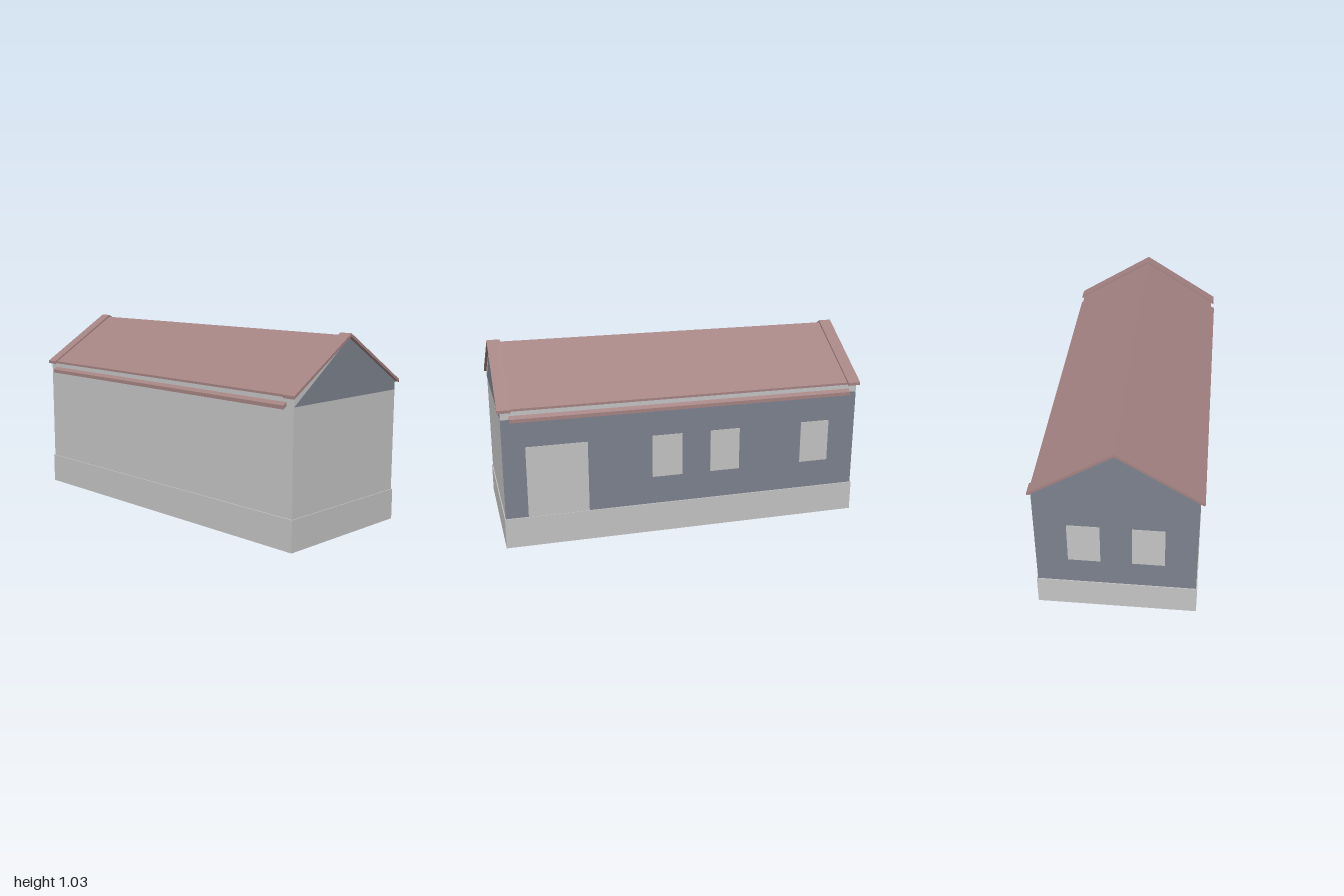
import * as THREE from 'three';

const material = (name, color, side = THREE.FrontSide) => {
  const m = new THREE.MeshStandardMaterial({ color, side });
  m.name = name;
  return m;
};

export function createModel() {
  const house = new THREE.Group();
  house.name = 'house';
  const grey = material('pale grey', 0xc4c4c4);
  const blue = material('slate blue', 0x7d828e);
  const red = material('dusty red roof', 0xa58383);

  const add = (name, geometry, mat) => {
    const mesh = new THREE.Mesh(geometry, mat);
    mesh.name = name;
    house.add(mesh);
    return mesh;
  };
  const box = (name, [x0, x1], [y0, y1], [z0, z1], mat) => {
    const g = new THREE.BoxGeometry(x1 - x0, y1 - y0, z1 - z0);
    g.translate((x0 + x1) / 2, (y0 + y1) / 2, (z0 + z1) / 2);
    return add(name, g, mat);
  };
  // Extrudes a [z, y] outline along x from x0 to x1
  const extrudeX = (name, outline, x0, x1, mat) => {
    const shape = new THREE.Shape(outline.map(([z, y]) => new THREE.Vector2(-z, y)));
    const g = new THREE.ExtrudeGeometry(shape, { depth: x1 - x0, bevelEnabled: false });
    g.rotateY(Math.PI / 2).translate(x0, 0, 0);
    return add(name, g, mat);
  };
  // Folded roof section of constant vertical thickness
  const roof = (name, half, peak, eave, t, x0, x1) => extrudeX(name, [
    [half, eave], [0, peak], [-half, eave], [-half, eave - t], [0, peak - t], [half, eave - t],
  ], x0, x1, red);

  const wallX = 0.985, wallZ = 0.41, plinthTop = 0.165, wallTop = 0.71;

  // Plinth and walls: back and -x end are painted blue
  box('plinth', [-0.99, 0.99], [0, plinthTop], [-0.416, 0.416], grey);
  box('walls', [-wallX, wallX], [plinthTop, wallTop], [-wallZ, wallZ],
    [grey, blue, grey, grey, grey, blue]);

  // Attic with blue gables and grey eave strips
  extrudeX('attic', [[wallZ, wallTop], [wallZ, 0.757], [0, 1.012], [-wallZ, 0.757], [-wallZ, wallTop]],
    -wallX, wallX, [blue, grey]);
  extrudeX('gableTrim', [[wallZ, wallTop], [wallZ, 0.757], [0, 1.012]], wallX, wallX + 0.002, grey);

  // Door and windows on the back wall
  const backZ = [-wallZ - 0.003, -wallZ];
  box('door', [0.54, 0.865], [plinthTop, 0.555], backZ, grey);
  for (const x of [0.108, -0.218, -0.745]) {
    box('backWindow', [x - 0.083, x + 0.083], [0.32, 0.555], backZ, grey);
  }
  // Pair of windows on the end wall
  for (const z of [-0.163, 0.163]) {
    box('endWindow', [-wallX - 0.003, -wallX], [0.32, 0.555], [z - 0.083, z + 0.083], grey);
  }

  // Roof, raised end bands and gutters
  roof('roof', 0.412, 1.021, 0.765, 0.012, -0.93, 0.93);
  for (const s of [-1, 1]) {
    roof('roofEndBand', 0.426, 1.033, 0.766, 0.016, Math.min(s * 0.93, s), Math.max(s * 0.93, s));
    extrudeX('gutter', [[s * 0.41, 0.73], [s * 0.432, 0.716], [s * 0.432, 0.697], [s * 0.41, 0.711]],
      -0.94, 0.94, red);
  }
  return house;
}
